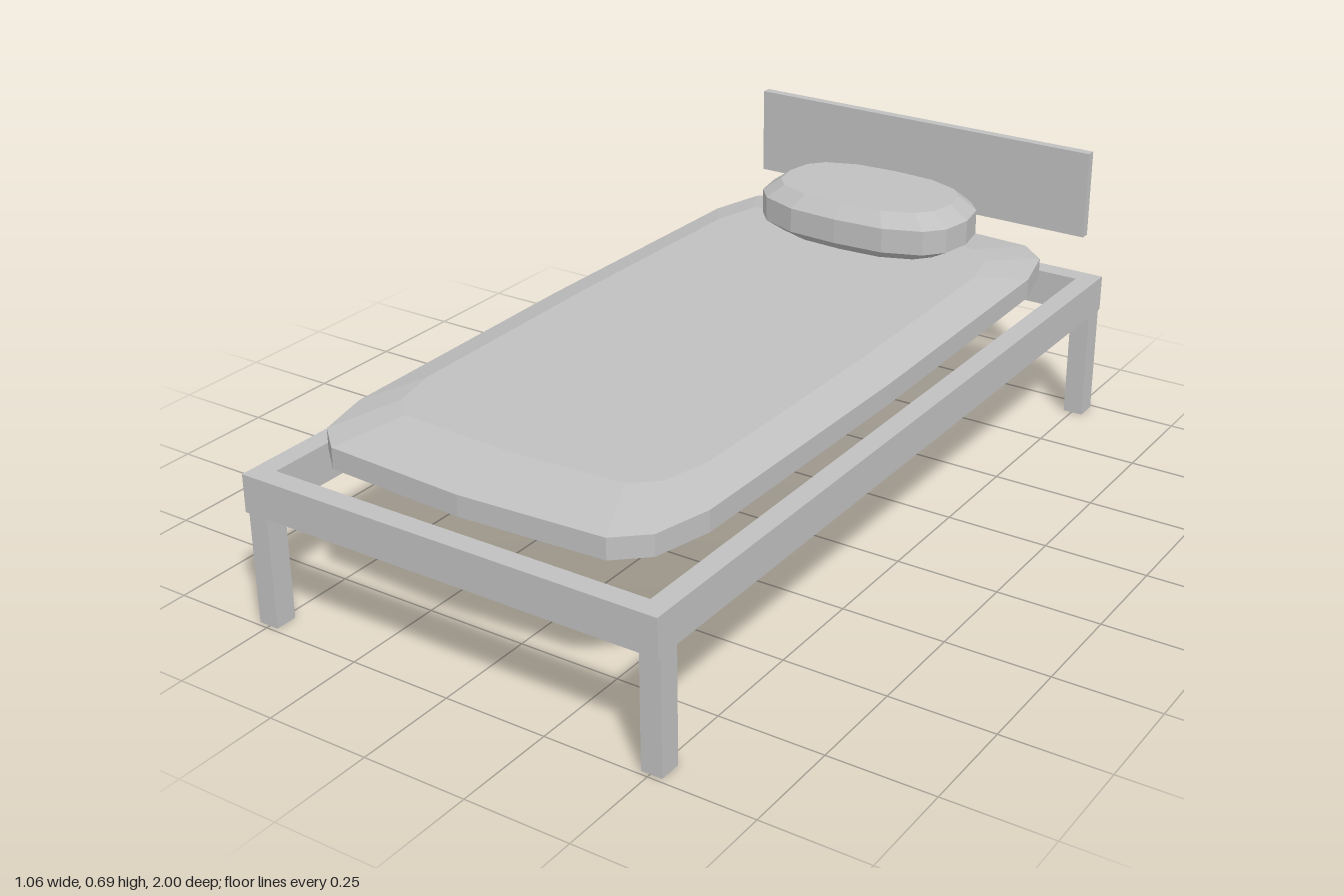
import * as THREE from 'three';

// Closed cushion: a quarter outline [x, z] mirrored round, stacked at levels [y, scaleX, scaleZ]
function cushion(quarter, levels) {
  const outline = [];
  [[1, 1], [-1, 1], [-1, -1], [1, -1]].forEach(([sx, sz], i) => {
    const pts = i % 2 ? [...quarter].reverse() : quarter;
    pts.slice(0, -1).forEach(([x, z]) => outline.push([x * sx, z * sz]));
  });
  const n = outline.length;
  const pos = [];
  const index = [];
  for (const [y, kx, kz] of levels) for (const [x, z] of outline) pos.push(x * kx, y, z * kz);
  const bottom = pos.length / 3;
  const top = bottom + 1;
  const last = (levels.length - 1) * n;
  pos.push(0, levels[0][0], 0, 0, levels[levels.length - 1][0], 0);
  for (let j = 0; j < n; j++) {
    const k = (j + 1) % n;
    for (let r = 0; r < last; r += n) {
      index.push(r + j, r + n + j, r + k, r + n + j, r + n + k, r + k);
    }
    index.push(bottom, j, k, top, last + k, last + j);
  }
  const indexed = new THREE.BufferGeometry();
  indexed.setAttribute('position', new THREE.Float32BufferAttribute(pos, 3));
  indexed.setIndex(index);
  const geo = indexed.toNonIndexed();
  geo.computeVertexNormals();
  return geo;
}

export function createModel() {
  const model = new THREE.Group();
  model.name = 'bed';
  const grey = new THREE.MeshStandardMaterial({ color: 0xc0c0c0, flatShading: true });
  grey.name = 'light grey';

  const add = (name, geo, x, y, z) => {
    const mesh = new THREE.Mesh(geo, grey);
    mesh.name = name;
    mesh.position.set(x, y, z);
    model.add(mesh);
  };
  const box = (name, w, h, d, x, y, z) => add(name, new THREE.BoxGeometry(w, h, d), x, y, z);

  // Open frame and legs
  for (const s of [1, -1]) {
    box(s > 0 ? 'leftRail' : 'rightRail', 0.05, 0.09, 2, s * 0.503, 0.32, 0);
    box(s > 0 ? 'frontRail' : 'backRail', 0.956, 0.09, 0.05, 0, 0.32, s * 0.975);
    for (const t of [1, -1]) {
      box(`${t > 0 ? 'front' : 'back'}${s > 0 ? 'Left' : 'Right'}Leg`,
        0.05, 0.275, 0.055, s * 0.503, 0.1375, t * 0.9625);
    }
  }

  // Headboard panel
  box('headboard', 0.956, 0.222, 0.024, 0, 0.58, -0.988);

  // Mattress with bevelled rims
  add('mattress', cushion(
    [[0.465, 0], [0.455, 0.71], [0.42, 0.85], [0.35, 0.913], [0, 0.933]],
    [[0.367, 0.81, 0.83], [0.39, 1, 1], [0.44, 1, 1], [0.468, 0.81, 0.825]]), 0, 0, 0);

  // Oval pillow
  add('pillow', cushion(
    [[0.28, 0], [0.265, 0.08], [0.225, 0.127], [0.13, 0.164], [0, 0.172]],
    [[0.468, 0.83, 0.82], [0.494, 1, 1], [0.556, 1, 1], [0.59, 0.83, 0.82]]), 0, 0, -0.713);

  return model;
}
